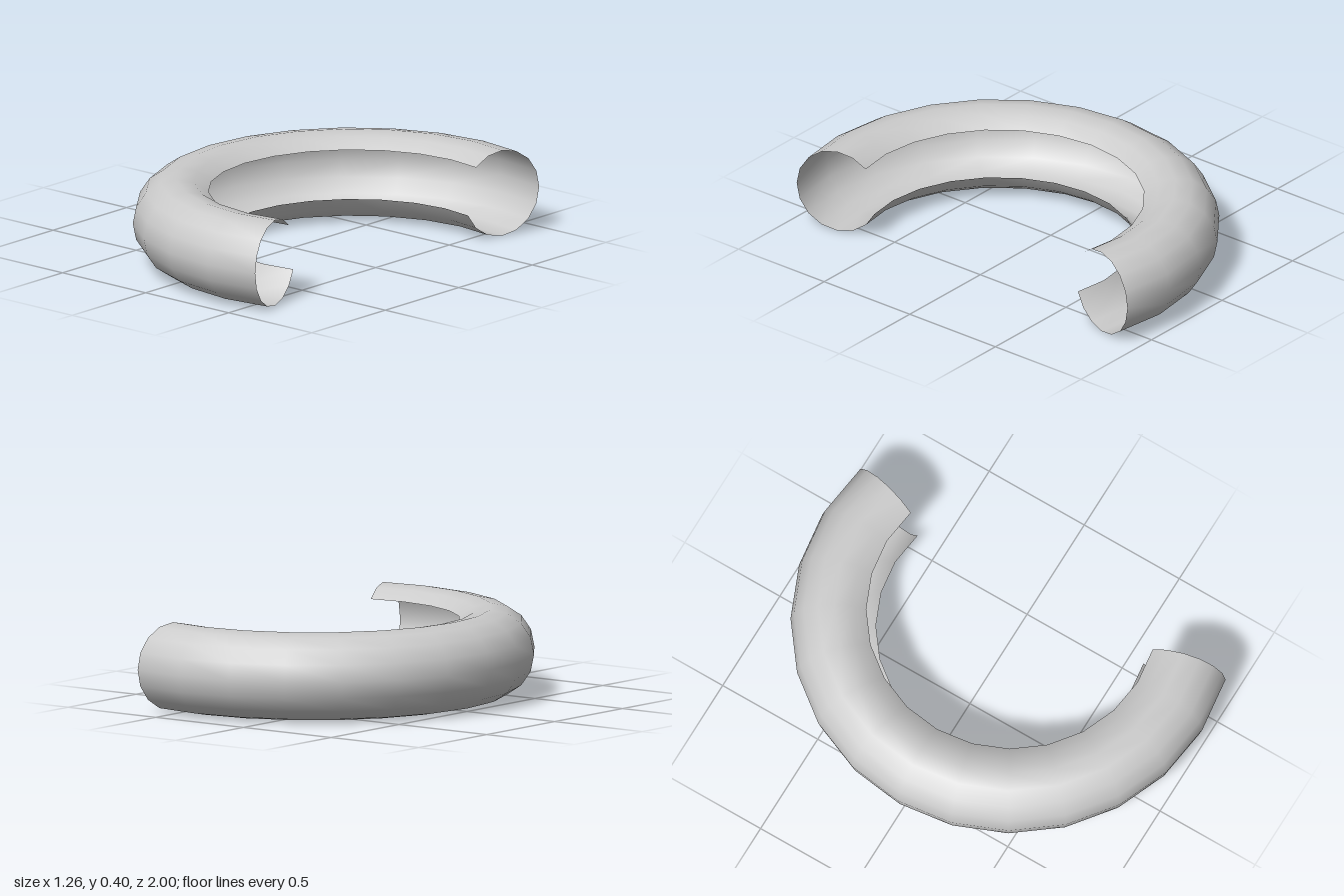
import * as THREE from 'three';

const RING = 0.8;    // ring centre line radius
const TUBE = 0.2;    // tube radius
const rad = THREE.MathUtils.degToRad;

export function createModel() {
  const group = new THREE.Group();
  group.name = 'openTubeArc';

  // Tube section, 16-sided with three sides left out to form the slot on the inner side
  const profile = [];
  for (let i = 0; i <= 13; i++) {
    const a = rad(-157.5 + i * 22.5);
    profile.push(new THREE.Vector2(RING + TUBE * Math.cos(a), TUBE + TUBE * Math.sin(a)));
  }

  // Swept through 210 degrees, with the gap facing +x
  const geometry = new THREE.LatheGeometry(profile, 14, rad(165), rad(210));
  const material = new THREE.MeshStandardMaterial({ color: 0xcccccc, side: THREE.DoubleSide });
  const shell = new THREE.Mesh(geometry, material);
  shell.name = 'slottedTubeShell';
  // Centre the arc between its outer wall and its open ends
  shell.position.x = (RING + TUBE) * (1 - Math.cos(rad(75))) / 2;
  group.add(shell);

  return group;
}
